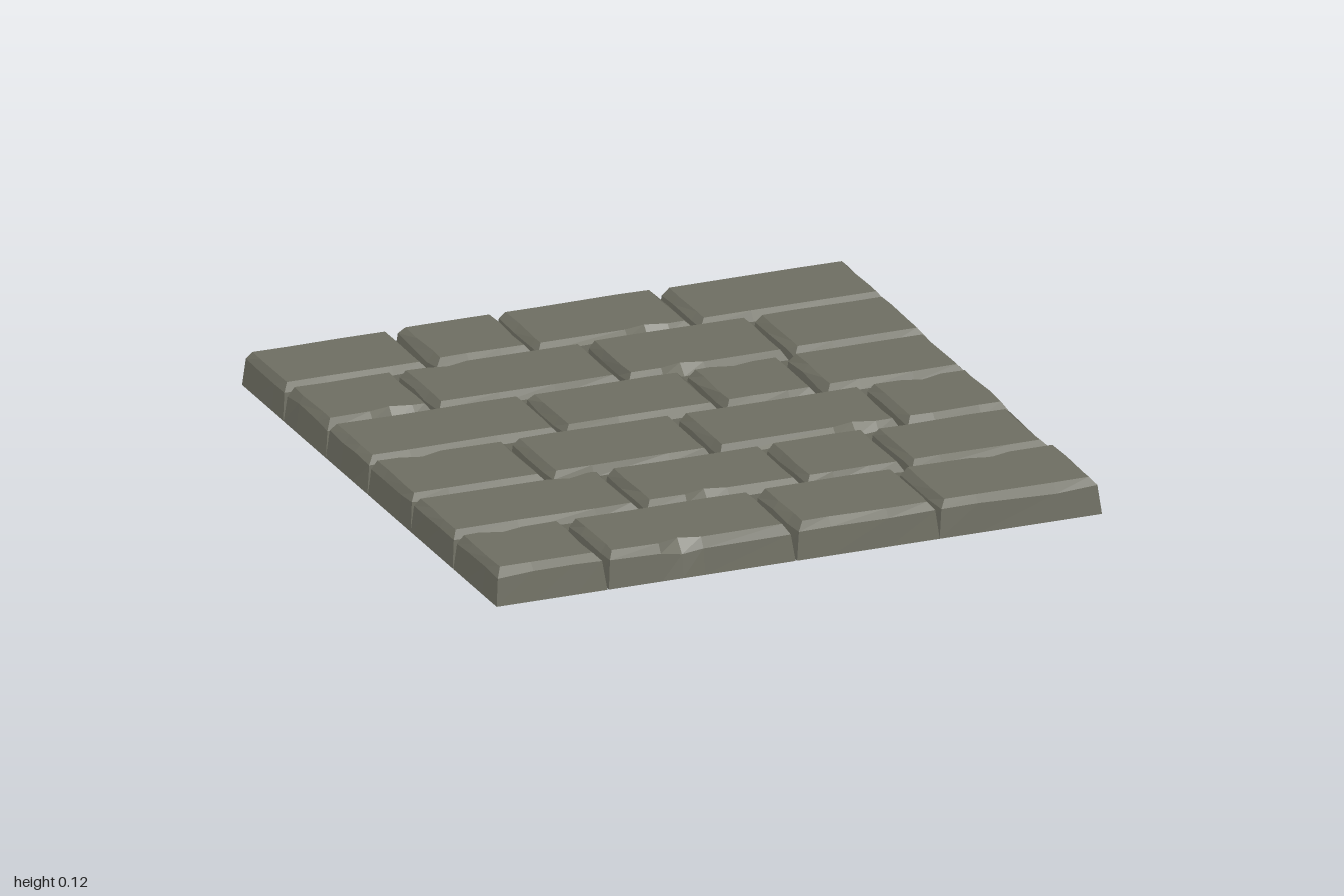
import * as THREE from 'three';

// Courses from back to front: z range and [x start, x end, chipped side, chip position along x]
const COURSES = [
  { z: [-1, -0.675], stones: [[-1, -0.51], [-0.5, -0.165], [-0.165, 0.37, 'front', 0.7], [0.37, 1]] },
  { z: [-0.67, -0.34], stones: [[-1, -0.63, 'front', 0.62], [-0.63, -0.01, 'back', 0.25], [-0.005, 0.54, 'front', 0.35], [0.54, 0.995]] },
  { z: [-0.34, -0.015], stones: [[-1, -0.35], [-0.35, 0.18], [0.18, 0.505, 'back', 0.45], [0.51, 0.99]] },
  { z: [-0.01, 0.325], stones: [[-1, -0.535, 'back', 0.35], [-0.535, 0.01], [0.015, 0.63, 'front', 0.75], [0.635, 0.99, 'back', 0.5]] },
  { z: [0.325, 0.655], stones: [[-1, -0.365, 'back', 0.8], [-0.365, 0.165, 'front', 0.4], [0.165, 0.505], [0.51, 0.985]] },
  { z: [0.66, 1], stones: [[-1, -0.635, 'back', 0.4], [-0.63, -0.015, 'front', 0.4], [-0.01, 0.46], [0.46, 0.995, 'back', 0.55]] },
];

let seed = 11;
const wobble = (a) => {
  seed = (seed * 16807) % 2147483647;
  return (seed / 2147483647 - 0.5) * 2 * a;
};

// One worn stone: an open-bottomed shell of three outlines closed by a flat top
function stoneGeometry([x0, x1, chipSide, chipAt], [z0, z1]) {
  const height = 0.114 + wobble(0.002);
  const sides = ['left', 'front', 'right', 'back'];
  const corners = [[x0, z0], [x0, z1], [x1, z1], [x1, z0]];
  const inward = [[1, 0], [0, -1], [-1, 0], [0, 1]];
  const topInset = [0.026, 0.032, 0.032, 0.02].map((v) => v + wobble(0.004));
  const rings = [[], [], []];

  sides.forEach((side, s) => {
    const a = corners[s], b = corners[(s + 1) % 4], prev = (s + 3) % 4;
    const chipped = side === chipSide;
    const at = side === 'back' ? 1 - chipAt : chipAt;
    const half = 0.07 / (x1 - x0);
    const stops = chipped ? [0, at - half, at, at + half] : [0, 0.3 + wobble(0.08), 0.7 + wobble(0.08)];
    stops.forEach((t, k) => {
      // Base, shoulder and top outlines
      [0, 0.35, 1].forEach((f, r) => {
        let inset = topInset[s] * f;
        let y = [0, 0.088, height][r];
        if (k && r) inset += wobble(0.004) * f;
        if (r === 1) y += wobble(0.006);
        if (chipped && k === 2 && r === 2) inset += 0.02;
        if (chipped && k === 2 && r === 1) y -= 0.01;
        let x = a[0] + (b[0] - a[0]) * t + inward[s][0] * inset;
        let z = a[1] + (b[1] - a[1]) * t + inward[s][1] * inset;
        if (k === 0) {
          x += inward[prev][0] * topInset[prev] * f;
          z += inward[prev][1] * topInset[prev] * f;
        }
        rings[r].push([x, y, z]);
      });
    });
  });

  const tris = [];
  const n = rings[0].length;
  const centre = [(x0 + x1) / 2, height, (z0 + z1) / 2];
  for (let i = 0; i < n; i++) {
    const j = (i + 1) % n;
    for (let r = 0; r < 2; r++) {
      const lo = rings[r], hi = rings[r + 1];
      tris.push(...lo[i], ...lo[j], ...hi[j], ...lo[i], ...hi[j], ...hi[i]);
    }
    tris.push(...rings[2][i], ...rings[2][j], ...centre);
  }
  const geometry = new THREE.BufferGeometry();
  geometry.setAttribute('position', new THREE.Float32BufferAttribute(tris, 3));
  geometry.computeVertexNormals();
  return geometry;
}

export function createModel() {
  const model = new THREE.Group();
  model.name = 'stonePaving';
  const stone = new THREE.MeshStandardMaterial({ color: 0x6e6e62, flatShading: true, side: THREE.DoubleSide });

  COURSES.forEach((course, c) => {
    const row = new THREE.Group();
    row.name = `course${c + 1}`;
    course.stones.forEach((spec, i) => {
      const mesh = new THREE.Mesh(stoneGeometry(spec, course.z), stone);
      mesh.name = `stone${i + 1}`;
      row.add(mesh);
    });
    model.add(row);
  });
  return model;
}
